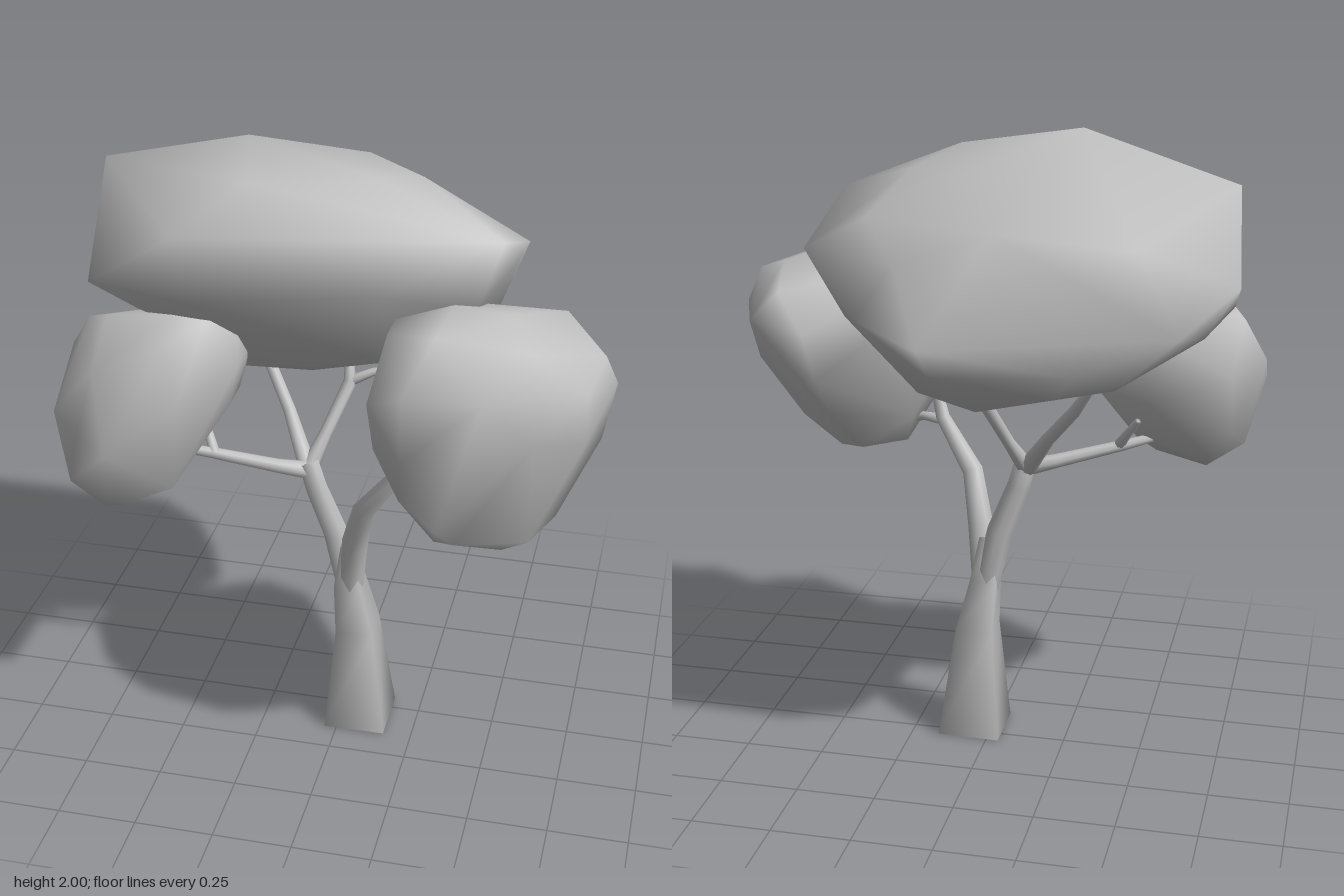
import * as THREE from 'three';
import { mergeVertices } from 'three/addons/utils/BufferGeometryUtils.js';
import { ConvexGeometry } from 'three/addons/geometries/ConvexGeometry.js';

const V = (x, y, z) => new THREE.Vector3(x, y, z);

// Faceted rounded clump with smooth normals, hulled from its corner points
function clumpGeometry(points) {
  const hull = new ConvexGeometry(points.map(p => V(...p)));
  hull.deleteAttribute('normal');
  const geo = mergeVertices(hull, 1e-4);
  geo.computeVertexNormals();
  return geo;
}

// Tapered limb through stations [x, y, z, radius], capped at both ends
function limbGeometry(stations, sides, turn = 0) {
  const pts = stations.map(s => V(s[0], s[1], s[2]));
  const pos = [], index = [], n = pts.length;
  pts.forEach((p, i) => {
    const t = pts[Math.min(i + 1, n - 1)].clone().sub(pts[Math.max(i - 1, 0)]).normalize();
    const u = t.clone().cross(V(0, 0, 1)).normalize();
    const v = t.clone().cross(u);
    for (let j = 0; j < sides; j++) {
      const a = turn + j / sides * Math.PI * 2;
      const q = p.clone().addScaledVector(u, Math.cos(a) * stations[i][3])
        .addScaledVector(v, Math.sin(a) * stations[i][3]);
      pos.push(q.x, Math.max(q.y, 0), q.z);
    }
  });
  const first = n * sides, last = first + 1;
  pos.push(...pts[0].toArray(), ...pts[n - 1].toArray());
  for (let j = 0; j < sides; j++) {
    const k = (j + 1) % sides, top = (n - 1) * sides;
    for (let i = 0; i < n - 1; i++) {
      const a = i * sides + j, b = i * sides + k;
      index.push(a, b, b + sides, a, b + sides, a + sides);
    }
    index.push(first, k, j, last, top + j, top + k);
  }
  const geo = new THREE.BufferGeometry();
  geo.setAttribute('position', new THREE.Float32BufferAttribute(pos, 3));
  geo.setIndex(index);
  geo.computeVertexNormals();
  return geo;
}

export function createModel() {
  const model = new THREE.Group();
  model.name = 'tree';
  const grey = new THREE.MeshStandardMaterial({ color: 0xbfbfbf });
  grey.name = 'plainGrey';
  const add = (name, geo) => {
    const mesh = new THREE.Mesh(geo, grey);
    mesh.name = name;
    model.add(mesh);
  };

  // Square flared trunk, its tip closing inside the fork
  add('trunk', limbGeometry([
    [0.06, 0, 0.05, 0.141], [0.05, 0.36, 0.05, 0.085],
    [0.024, 0.53, 0.055, 0.06], [0.022, 0.67, 0.065, 0.03],
  ], 4, Math.PI / 4));

  // Main limbs, branches and twigs
  const limbs = {
    rightLimb: [[0.03, 0.42, 0.05, 0.03], [0.008, 0.56, 0.05, 0.041], [-0.024, 0.7, 0.045, 0.041], [-0.085, 0.86, 0.05, 0.036], [-0.11, 0.95, 0.05, 0.034]],
    leftLimb: [[0.035, 0.42, 0.055, 0.03], [0.034, 0.56, 0.065, 0.041], [0.05, 0.7, 0.095, 0.042], [0.09, 0.86, 0.155, 0.035], [0.2, 1.02, 0.2, 0.024], [0.23, 1.16, 0.2, 0.015]],
    leftOuterBranch: [[0.19, 1.01, 0.2, 0.02], [0.27, 1.01, 0.23, 0.015], [0.4, 0.97, 0.27, 0.012]],
    rightOuterBranch: [[-0.1, 0.92, 0.05, 0.03], [-0.2, 0.94, 0.08, 0.023], [-0.4, 0.99, 0.13, 0.018], [-0.52, 1.02, 0.17, 0.013]],
    rightOuterTwig: [[-0.39, 0.99, 0.13, 0.018], [-0.42, 1.04, 0.09, 0.014], [-0.46, 1.1, 0.05, 0.01]],
    rightUpperBranch: [[-0.11, 0.92, 0.05, 0.03], [-0.2, 1.06, -0.07, 0.021], [-0.3, 1.19, -0.18, 0.019], [-0.37, 1.3, -0.24, 0.012]],
    centreBranch: [[-0.11, 0.92, 0.05, 0.03], [-0.07, 1.02, -0.02, 0.02], [-0.01, 1.17, -0.1, 0.021], [-0.02, 1.25, -0.13, 0.013]],
    centreTwig: [[-0.01, 1.17, -0.1, 0.018], [0.06, 1.2, -0.12, 0.014], [0.17, 1.22, -0.14, 0.012]],
  };
  for (const name in limbs) add(name, limbGeometry(limbs[name], 8));

  // Large tilted crown
  add('topFoliage', clumpGeometry([
    [-0.28, 2, 0.03], [-0.23, 1.95, 0.27], [-0.4, 1.83, 0.435], [0.11, 1.93, 0.11],
    [0.03, 1.89, -0.2], [0.22, 1.88, -0.06], [0.49, 1.78, 0.14], [0.52, 1.68, -0.02],
    [0.52, 1.65, -0.2], [0.43, 1.6, 0.21], [0.17, 1.66, 0.32], [0.33, 1.75, -0.2],
    [0.3, 1.5, -0.43], [0.08, 1.46, -0.575], [0.05, 1.38, -0.55], [-0.36, 1.41, -0.575],
    [-0.65, 1.53, -0.55], [-0.79, 1.63, -0.34], [-0.755, 1.865, -0.06], [-0.72, 1.59, 0.25],
    [-0.69, 1.47, -0.3], [-0.76, 1.53, -0.15], [-0.27, 1.24, -0.22], [-0.02, 1.19, -0.21],
    [0.17, 1.23, -0.22], [-0.05, 1.24, -0.4], [-0.4, 1.6, 0.35], [-0.5, 1.49, 0.25],
    [-0.35, 1.43, 0.2], [-0.1, 1.77, -0.44], [0.19, 1.66, -0.4], [-0.5, 1.74, -0.42],
    [0.43, 1.42, -0.1], [0.15, 1.36, 0.12], [-0.3, 1.28, 0.08], [-0.12, 1.22, -0.05],
    [-0.42, 1.26, -0.17], [-0.3, 1.33, -0.52],
  ]));

  // Clump on the model's left
  add('leftFoliage', clumpGeometry([
    [0.37, 1.625, 0.25], [0.35, 1.61, 0.44], [0.36, 1.59, 0.14], [0.53, 1.59, 0.2],
    [0.6, 1.55, 0.36], [0.67, 1.55, 0.05], [0.8, 1.49, 0.2], [0.835, 1.39, 0.16],
    [0.75, 1.38, -0.07], [0.65, 1.48, -0.08], [0.56, 1.36, -0.135], [0.77, 1.44, 0.34],
    [0.77, 1.28, 0.34], [0.64, 1.34, 0.5], [0.5, 1.47, 0.54], [0.28, 1.28, 0.575],
    [0.28, 1.47, 0.56], [0.165, 1.4, 0.47], [0.17, 1.22, 0.4], [0.2, 1.57, 0.36],
    [0.2, 1.56, 0.17], [0.165, 1.42, 0.19], [0.18, 1.22, 0.22], [0.25, 1.07, 0.42],
    [0.28, 1.04, 0.13], [0.33, 0.92, 0.24], [0.54, 0.87, 0.3], [0.46, 0.91, 0.16],
    [0.69, 0.98, 0.25], [0.8, 1.2, 0.15], [0.52, 0.93, 0.12], [0.52, 1.07, 0],
    [0.54, 1.2, -0.08], [0.36, 0.96, 0.44], [0.43, 1, 0.51], [0.38, 1.05, 0.54],
    [0.3, 1.38, 0], [0.63, 0.97, 0.4],
  ]));

  // Clump on the model's right
  add('rightFoliage', clumpGeometry([
    [-0.46, 1.53, 0.3], [-0.35, 1.52, 0.29], [-0.46, 1.5, 0.15], [-0.28, 1.49, 0.2],
    [-0.27, 1.36, 0.25], [-0.27, 1.36, 0.1], [-0.3, 1.45, 0.08], [-0.3, 1.23, 0.25],
    [-0.32, 1.2, 0.07], [-0.44, 1.01, 0.17], [-0.44, 1.01, 0.4], [-0.5, 0.96, 0.2],
    [-0.66, 0.92, 0.2], [-0.66, 0.92, 0.4], [-0.77, 0.97, 0.3], [-0.76, 1, 0.41],
    [-0.83, 1.2, 0.3], [-0.84, 1.31, 0.1], [-0.77, 1.42, 0.13], [-0.66, 1.5, 0.27],
    [-0.75, 1.28, -0.03], [-0.75, 1.08, 0.05], [-0.47, 1.4, 0.01], [-0.5, 1.17, 0],
    [-0.82, 1.2, 0.35], [-0.7, 1.2, 0.48], [-0.6, 1.17, 0.535], [-0.4, 1.32, 0.43],
    [-0.65, 1.4, 0.45], [-0.45, 1.47, 0.39], [-0.68, 0.98, 0.1], [-0.6, 0.94, 0.42],
  ]));

  return model;
}
